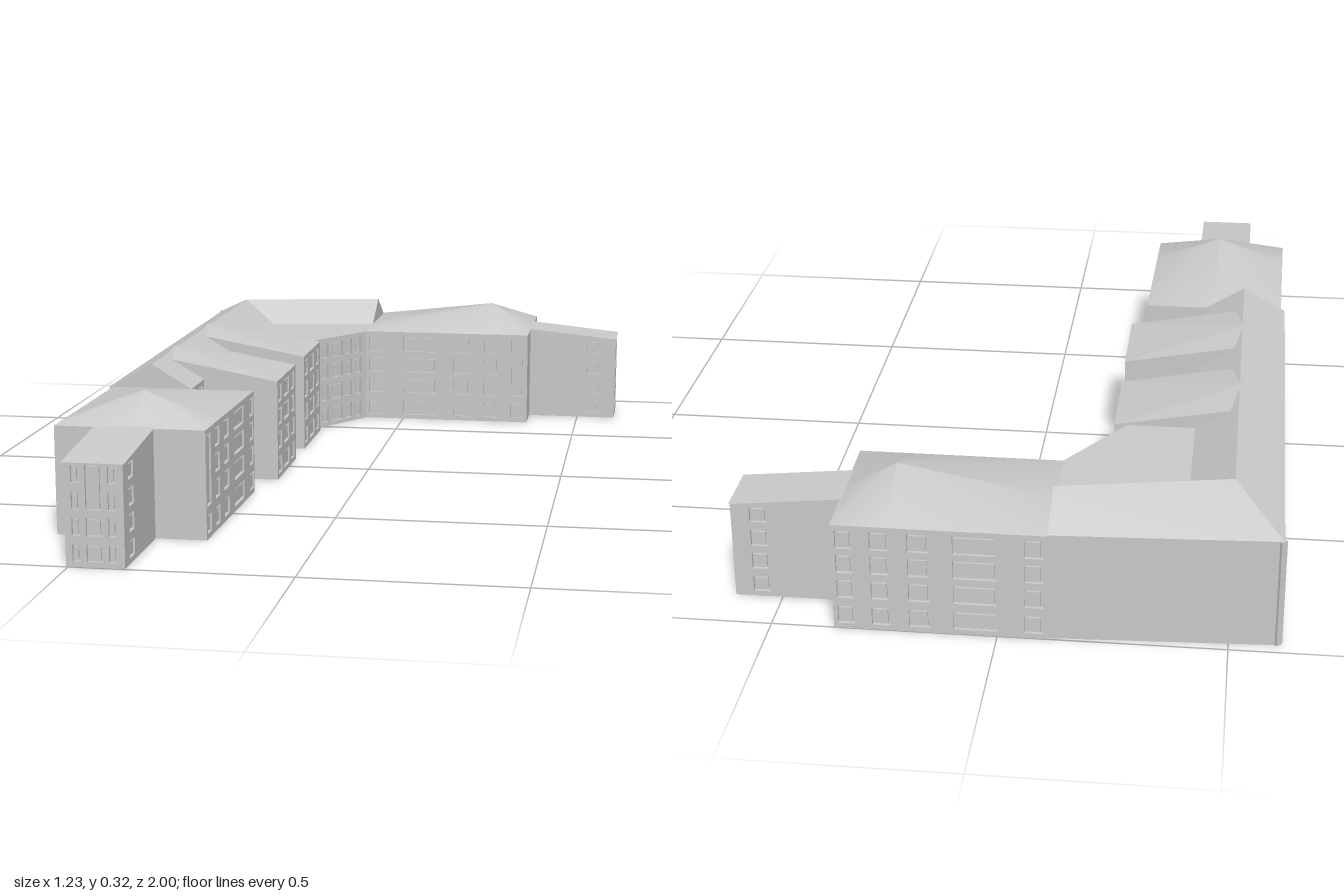
import * as THREE from 'three';
import { mergeGeometries } from 'three/addons/utils/BufferGeometryUtils.js';

const EAVE = 0.255, RIDGE = 0.315, REVEAL = 0.008;
const grey = new THREE.MeshStandardMaterial({ color: 0xcccccc, side: THREE.DoubleSide });

// window rows, as [bottom, top]; tall bays join the upper three storeys
const ROWS = [[0.012, 0.055], [0.076, 0.12], [0.138, 0.182], [0.198, 0.242]];
const TALL = [[0.012, 0.055], [0.076, 0.242]];
const DUO = [[0.012, 0.05], [0.07, 0.11], [0.128, 0.228]];
const LOW = [[0.012, 0.05], [0.07, 0.11], [0.128, 0.168], [0.188, 0.225]];

function rectPath(Type, x0, y0, x1, y1) {
  const p = new Type();
  p.moveTo(x0, y0);
  p.lineTo(x1, y0);
  p.lineTo(x1, y1);
  p.lineTo(x0, y1);
  p.closePath();
  return p;
}

// wall from a to b (outside on the right hand), with recessed windows
function wall(a, b, height, columns = []) {
  const dx = b[0] - a[0], dz = b[1] - a[1], len = Math.hypot(dx, dz);
  const face = rectPath(THREE.Shape, 0, 0, len, height);
  const panes = [];
  for (const [s0, s1, rows = ROWS] of columns) {
    for (const [y0, y1] of rows) {
      face.holes.push(rectPath(THREE.Path, s0, y0, s1, y1));
      const w = s1 - s0 - 0.01, h = y1 - y0 - 0.01;
      panes.push(new THREE.BoxGeometry(w, h, REVEAL - 0.003)
        .translate((s0 + s1) / 2, (y0 + y1) / 2, -REVEAL / 2 - 0.0015));
    }
  }
  const g = new THREE.Group();
  g.name = 'wall';
  const skin = new THREE.Mesh(
    new THREE.ExtrudeGeometry(face, { depth: REVEAL, bevelEnabled: false }).translate(0, 0, -REVEAL), grey);
  skin.name = 'wallFace';
  g.add(skin);
  if (panes.length) {
    const back = new THREE.PlaneGeometry(len, height).translate(len / 2, height / 2, -REVEAL);
    const glass = new THREE.Mesh(mergeGeometries([back, ...panes]), grey);
    glass.name = 'windows';
    g.add(glass);
  }
  g.position.set(a[0], 0, a[1]);
  g.rotation.y = Math.atan2(-dz, dx);
  return g;
}

// block on a footprint of [x, z] corners, front-left first, turning through +x
function block(name, corners, height, windows = {}) {
  const g = new THREE.Group();
  g.name = name;
  corners.forEach((a, i) => g.add(wall(a, corners[(i + 1) % corners.length], height, windows[i])));
  const plan = new THREE.Shape(corners.map(([x, z]) => new THREE.Vector2(x, z)));
  const floor = new THREE.Mesh(new THREE.ShapeGeometry(plan).rotateX(Math.PI / 2), grey);
  floor.name = 'floor';
  g.add(floor);
  return g;
}

// roof from flat or slightly twisted faces, each a fan of [x, y, z] corners
function roof(name, faces) {
  const parts = faces.map((pts) => {
    // Newell sum turns every face upward
    let up = 0;
    pts.forEach((p, i) => {
      const q = pts[(i + 1) % pts.length];
      up += (p[2] - q[2]) * (p[0] + q[0]);
    });
    const ring = up < 0 ? [pts[0], ...pts.slice(1).reverse()] : pts;
    const geo = new THREE.BufferGeometry();
    geo.setAttribute('position', new THREE.Float32BufferAttribute(ring.flat(), 3));
    const index = [];
    for (let i = 1; i < ring.length - 1; i++) index.push(0, i, i + 1);
    geo.setIndex(index);
    geo.computeVertexNormals();
    return geo;
  });
  const mesh = new THREE.Mesh(mergeGeometries(parts), grey);
  mesh.name = name;
  return mesh;
}

// low hipped roof: a single peak shared by four quarter faces
function peakRoof(name, c, peak) {
  const e = (p) => [p[0], EAVE, p[1]];
  const mid = (p, q, axis) => {
    const t = (peak[axis] - p[axis]) / (q[axis] - p[axis]);
    return [p[0] + (q[0] - p[0]) * t, EAVE, p[1] + (q[1] - p[1]) * t];
  };
  const m = [mid(c[0], c[1], 0), mid(c[1], c[2], 1), mid(c[2], c[3], 0), mid(c[3], c[0], 1)];
  const top = [peak[0], 0.32, peak[1]];
  return roof(name, c.map((p, i) => [top, m[(i + 3) % 4], e(p), m[i]]));
}

export function createModel() {
  const model = new THREE.Group();
  model.name = 'building';
  const blockCols = [[0.01, 0.046, TALL], [0.085, 0.125], [0.167, 0.213], [0.265, 0.36], [0.42, 0.46]];
  const flip = (cols, len) => cols.map(([a, b, r]) => [len - b, len - a, r]);
  const plainCols = blockCols.map(([a, b]) => [a, b]);
  const bayCols = [[0.015, 0.055], [0.085, 0.15], [0.18, 0.22]];

  // long west wing and its gabled roof
  const westCols = [];
  for (const s of [0.52, 0.88]) bayCols.forEach(([a, b]) => westCols.push([s + a, s + b]));
  for (const s of [0.78, 0.83, 1.14, 1.2]) westCols.push([s, s + 0.035]);
  model.add(block('longWing', [[-0.61, 0.28], [-0.4, 0.28], [-0.4, -0.735], [-0.61, -0.97]], EAVE, {
    1: [[0.005, 0.045], [0.08, 0.12], [0.375, 0.41], [0.44, 0.48]],
    3: westCols,
  }));
  const corner = [-0.5, RIDGE, -0.81];
  model.add(roof('longWingRoof', [
    [[-0.61, EAVE, 0.28], [-0.5, RIDGE, 0.28], corner, [-0.61, EAVE, -0.97]],
    [[-0.4, EAVE, 0.28], [-0.5, RIDGE, 0.28], corner, [-0.4, EAVE, -0.735]],
    [[-0.61, EAVE, 0.28], [-0.4, EAVE, 0.28], [-0.5, RIDGE, 0.28]],
  ]));

  // corner section with a canted inner wall
  const cant = [[0.01, 0.035], [0.052, 0.078], [0.092, 0.138], [0.15, 0.175], [0.19, 0.215]];
  model.add(block('cornerSection', [[-0.61, -0.97], [-0.4, -0.735], [-0.4, -0.45], [-0.24, -0.45],
    [-0.11, -0.645], [-0.11, -0.995]], EAVE, { 3: cant }));
  const end = [-0.11, RIDGE, -0.885];
  model.add(roof('cornerRoof', [
    [[-0.61, EAVE, -0.97], [-0.11, EAVE, -0.995], end, corner],
    [corner, end, [-0.11, EAVE, -0.78], [-0.4, EAVE, -0.735]],
    [[-0.4, EAVE, -0.735], [-0.11, EAVE, -0.78], [-0.11, EAVE, -0.645], [-0.24, EAVE, -0.45], [-0.4, EAVE, -0.45]],
    [[-0.11, EAVE, -0.995], end, [-0.11, EAVE, -0.78]],
  ]));

  // two projecting bays whose roofs run up to the wing's ridge
  for (const z of [-0.33, 0.03]) {
    const n = z - 0.12, s = z + 0.12;
    const g = block('bay', [[-0.5, s], [-0.21, s], [-0.21, n], [-0.5, n]], EAVE, { 1: bayCols });
    const top = [-0.505, 0.317, z];
    const faces = [[top, [-0.21, EAVE, s], [-0.21, EAVE, n]]];
    for (const side of [s, n]) {
      faces.push([top, [-0.21, EAVE, side], [-0.505, 0.308, side]]);
      faces.push([[-0.505, 0.308, side], [-0.21, EAVE, side], [-0.505, EAVE, side]]);
    }
    g.add(roof('bayRoof', faces));
    model.add(g);
  }

  // front block at the end of the long wing
  const south = [[-0.605, 0.745], [-0.253, 0.745], [-0.243, 0.28], [-0.6, 0.28]];
  model.add(block('frontBlock', south, EAVE, { 1: blockCols, 3: flip(plainCols, 0.465) }));
  model.add(peakRoof('frontBlockRoof', south, [-0.425, 0.63]));

  // side block at the end of the short wing
  const north = [[-0.11, -0.648], [0.36, -0.648], [0.36, -1], [-0.11, -1]];
  model.add(block('sideBlock', north, EAVE, { 0: flip(blockCols, 0.47), 2: plainCols }));
  model.add(peakRoof('sideBlockRoof', north, [0.24, -0.822]));

  // narrow end annexes with gently falling roofs
  const LOWTOP = 0.232;
  const trio = [[0.015, 0.033, LOW], [0.047, 0.083, DUO], [0.097, 0.115, LOW]];
  model.add(block('frontAnnex', [[-0.505, 0.997], [-0.373, 0.997], [-0.373, 0.74], [-0.505, 0.74]], LOWTOP, {
    0: trio, 1: [[0.04, 0.08, LOW]], 3: [[0.177, 0.217, LOW]],
  }));
  model.add(block('sideAnnex', [[0.355, -0.755], [0.607, -0.755], [0.607, -0.887], [0.355, -0.887]], LOWTOP, {
    0: [[0.172, 0.21, LOW]], 1: trio, 2: [[0.042, 0.08, LOW]],
  }));
  const hi = 0.258;
  model.add(roof('frontAnnexRoof', [
    [[-0.51, LOWTOP, 1], [-0.37, LOWTOP, 1], [-0.37, hi, 0.74], [-0.51, hi, 0.74]],
    ...[-0.505, -0.373].map((x) => [[x, LOWTOP, 1], [x, hi, 0.74], [x, LOWTOP, 0.74]]),
  ]));
  model.add(roof('sideAnnexRoof', [
    [[0.61, LOWTOP, -0.89], [0.61, LOWTOP, -0.75], [0.355, hi, -0.75], [0.355, hi, -0.89]],
    ...[-0.755, -0.887].map((z) => [[0.61, LOWTOP, z], [0.355, hi, z], [0.355, LOWTOP, z]]),
  ]));
  return model;
}
